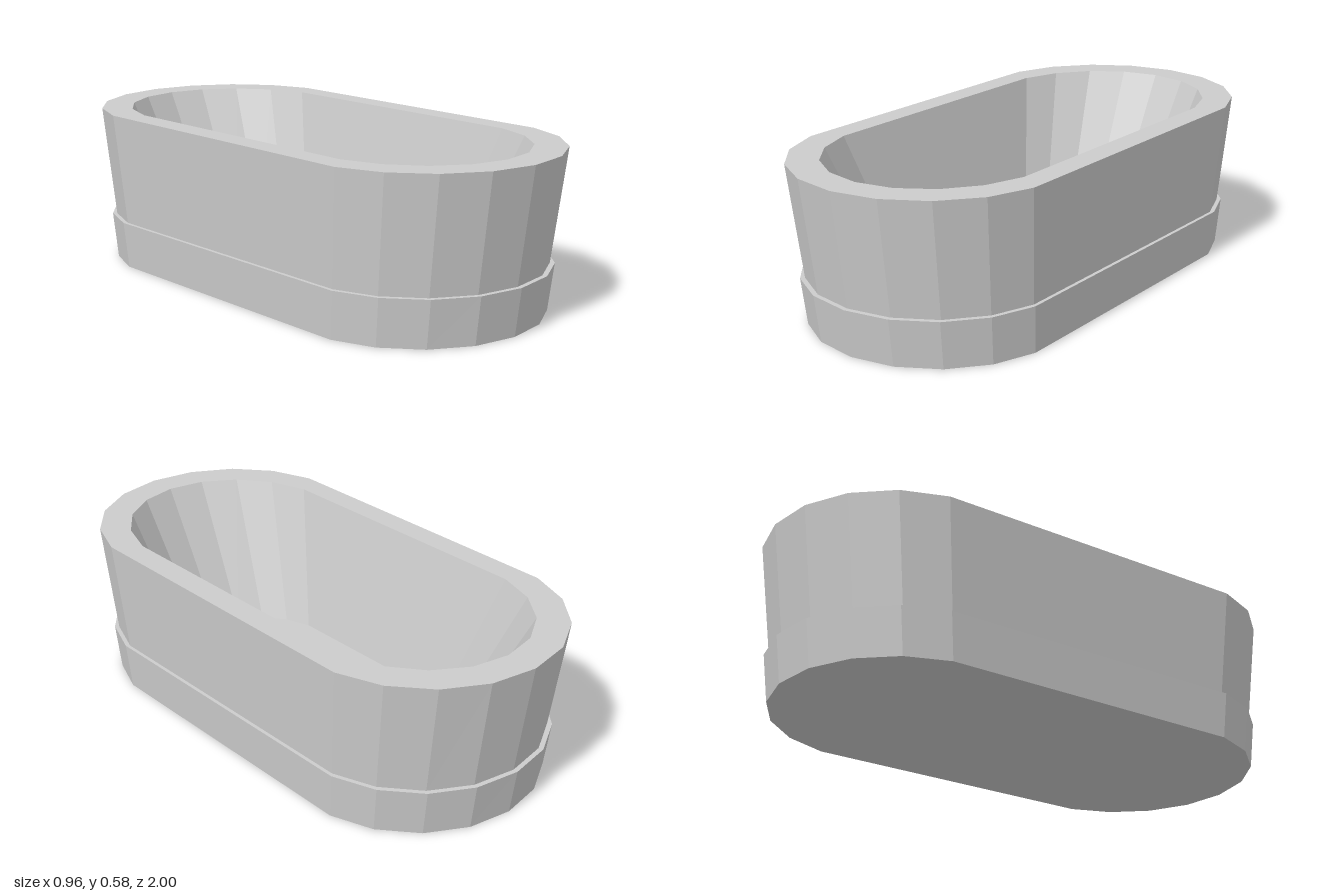
import * as THREE from 'three';

const material = new THREE.MeshStandardMaterial({ color: 0xcccccc, flatShading: true });

// Stadium outline: half-width w, straight side up to z = side, rounded end reaching z = end
function ring([y, w, side, end]) {
  const points = [];
  const s = Math.sin(Math.PI / 18);
  const rx = w / Math.cos(Math.PI / 18);
  const rz = (end - side) / (1 - s);
  const centre = end - rz;
  for (const sign of [1, -1]) {
    for (let i = 0; i < 9; i++) {
      const a = THREE.MathUtils.degToRad(10 + 20 * i);
      points.push([sign * rx * Math.cos(a), y, sign * (centre + rz * Math.sin(a))]);
    }
  }
  return points;
}

// Joins successive outlines; a row of only [y] closes the surface at its centre
function loft(name, rows) {
  const rings = rows.map((row) => (row.length > 1 ? ring(row) : new Array(18).fill([0, row[0], 0])));
  const positions = [];
  for (let i = 0; i < rows.length - 1; i++) {
    for (let j = 0; j < 18; j++) {
      const k = (j + 1) % 18;
      const a = rings[i][j], b = rings[i][k], c = rings[i + 1][k], d = rings[i + 1][j];
      if (rows[i].length > 1) positions.push(...a, ...d, ...b);
      if (rows[i + 1].length > 1) positions.push(...d, ...c, ...b);
    }
  }
  const geometry = new THREE.BufferGeometry();
  geometry.setAttribute('position', new THREE.Float32BufferAttribute(positions, 3));
  geometry.computeVertexNormals();
  const mesh = new THREE.Mesh(geometry, material);
  mesh.name = name;
  return mesh;
}

export function createModel() {
  const tub = new THREE.Group();
  tub.name = 'bathtub';
  const floorY = 0.07;

  // Plinth band with the narrow ledge on top
  tub.add(loft('plinth', [
    [0],
    [0, 0.458, 0.56, 0.94],
    [0.17, 0.468, 0.575, 0.962],
    [0.17, 0.455, 0.565, 0.945],
  ]));

  // Flared outer wall and flat rim
  tub.add(loft('outerWall', [
    [0.17, 0.455, 0.565, 0.945],
    [0.577, 0.481, 0.6, 1],
    [0.577, 0.391, 0.53, 0.888],
  ]));

  // Sloping inside and floor
  tub.add(loft('basin', [
    [0.577, 0.391, 0.53, 0.888],
    [floorY, 0.272, 0.37, 0.617],
    [floorY],
  ]));

  // Drain: a low ring around a flat plug
  const profile = [[0.053, 0], [0.053, 0.006], [0.037, 0.006], [0.037, 0.003], [0, 0.003]];
  const drain = new THREE.Mesh(
    new THREE.LatheGeometry(profile.map(([r, y]) => new THREE.Vector2(r, y)), 18),
    material
  );
  drain.name = 'drain';
  drain.position.set(0, floorY, 0.283);
  tub.add(drain);

  return tub;
}
